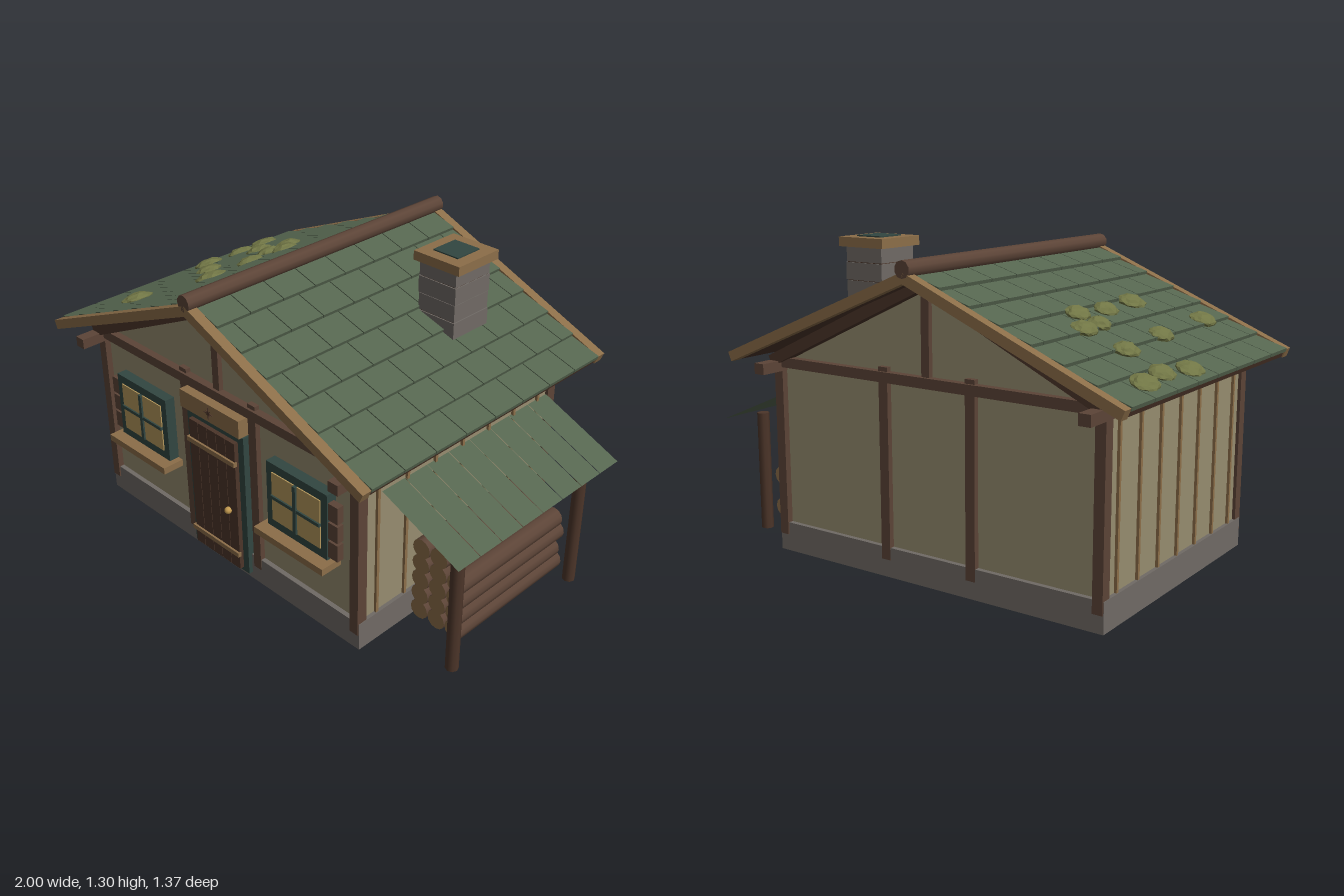
import * as THREE from 'three';
import { mergeGeometries } from 'three/addons/utils/BufferGeometryUtils.js';

const mat = (name, color, extra = {}) => {
  const m = new THREE.MeshStandardMaterial({ color, ...extra });
  m.name = name;
  return m;
};

export function createModel() {
  const plaster = mat('plaster', 0x968c6f);
  const stone = mat('stone', 0x706a65);
  const timber = mat('timber', 0x5c4437);
  const darkWood = mat('dark wood', 0x4c3529);
  const tan = mat('light wood', 0x8c6e49);
  const green = mat('green shingle', 0x566650, { side: THREE.DoubleSide });
  const teal = mat('dark teal paint', 0x324641);
  const amber = mat('lit glass', 0xb5985c);
  const moss = mat('moss', 0x717645, { flatShading: true });
  const brass = mat('brass', 0xc39a50);

  const root = new THREE.Group();
  root.name = 'cottage';
  const house = new THREE.Group();
  house.name = 'house';
  house.position.x = -0.107;
  root.add(house);

  const add = (parent, name, geo, material, x = 0, y = 0, z = 0) => {
    const m = new THREE.Mesh(geo, material);
    m.name = name;
    m.position.set(x, y, z);
    parent.add(m);
    return m;
  };
  // Box given by its min and max on each axis
  const box = (parent, name, material, x0, x1, y0, y1, z0, z1) =>
    add(parent, name, new THREE.BoxGeometry(x1 - x0, y1 - y0, z1 - z0), material,
      (x0 + x1) / 2, (y0 + y1) / 2, (z0 + z1) / 2);

  // Foundation and gabled wall body
  box(house, 'foundation', stone, -0.76, 0.76, 0.02, 0.14, -0.56, 0.56);
  const gable = new THREE.Shape([[-0.745, 0.14], [0.745, 0.14], [0.745, 0.81], [0, 1.16], [-0.745, 0.81]]
    .map(p => new THREE.Vector2(...p)));
  add(house, 'walls', new THREE.ExtrudeGeometry(gable, { depth: 1.08, bevelEnabled: false }), plaster, 0, 0, -0.54);

  // Timber framing on both gable ends
  for (const s of [1, -1]) {
    const zr = (a, b) => s > 0 ? [a, b] : [-b, -a];
    for (const x of [-0.737, 0.737])
      box(house, 'cornerPost', timber, x - 0.021, x + 0.021, 0.09, 0.83, ...zr(0.52, 0.566));
    for (const x of [-0.2, 0.2])
      box(house, 'wallPost', timber, x - 0.021, x + 0.021, 0.09, 0.845, ...zr(0.53, 0.562));
    box(house, 'crossBeam', timber, -0.76, 0.76, 0.788, 0.828, ...zr(0.53, 0.572));
    box(house, 'kingPost', timber, -0.018, 0.018, 0.82, 1.13, ...zr(0.53, 0.56));
    for (const d of [1, -1]) {
      const len = Math.hypot(0.76, 0.36);
      const r = add(house, 'gableRafter', new THREE.BoxGeometry(len, 0.045, 0.06), darkWood, d * 0.376, 0.992, s * 0.56);
      r.rotation.z = -d * Math.atan2(0.36, 0.76);
    }
  }

  // Eave plates and side battens
  for (const d of [1, -1]) {
    box(house, 'eavePlate', timber, d * 0.737 - 0.024, d * 0.737 + 0.024, 0.772, 0.815, -0.672, 0.672);
    for (let i = -3; i <= 3; i++)
      add(house, 'batten', new THREE.BoxGeometry(0.014, 0.64, 0.013), tan, d * 0.749, 0.455, i * 0.153);
  }

  // Roof: each slope has local x running down to the eave
  const slopeLen = 0.965, rows = 7, rowLen = slopeLen / rows, halfZ = 0.645;
  for (const turn of [0, Math.PI]) {
    const side = new THREE.Group();
    side.name = 'roofSide';
    side.rotation.y = turn;
    house.add(side);
    const slope = new THREE.Group();
    slope.name = 'roofSlope';
    slope.position.y = 1.218;
    slope.rotation.z = -0.398;
    side.add(slope);
    box(slope, 'roofDeck', darkWood, 0, slopeLen - 0.005, -0.034, -0.014, -halfZ, halfZ);
    for (const s of [1, -1])
      box(slope, 'bargeBoard', tan, 0, slopeLen, -0.035, 0.004, s * 0.665 - 0.021, s * 0.665 + 0.021);
    const tiles = [];
    const w = halfZ / 4;
    for (let i = 0; i < rows; i++) {
      const shift = i % 2 ? w / 2 : 0;
      for (let z = -halfZ - shift; z < halfZ - 0.01; z += w) {
        const a = Math.max(z, -halfZ) + 0.002, b = Math.min(z + w, halfZ) - 0.002;
        if (b - a < 0.01) continue;
        const g = new THREE.BoxGeometry(rowLen * 1.08, 0.016, b - a);
        g.rotateZ(0.1);
        g.translate(rowLen * (i + 0.47), -0.006, (a + b) / 2);
        tiles.push(g);
      }
    }
    add(slope, 'shingles', mergeGeometries(tiles), green);
  }
  const ridge = add(house, 'ridgePole', new THREE.CylinderGeometry(0.033, 0.033, 1.372, 10), timber, 0, 1.231, 0);
  ridge.rotation.x = Math.PI / 2;

  // Chimney of stacked courses with a cap
  for (let i = 0; i < 5; i++) {
    const y = 0.91 + i * 0.072, e = i % 2 ? 0.002 : 0;
    box(root, 'chimneyCourse', stone, 0.272 - e, 0.45 + e, y, y + 0.069, -0.346 - e, -0.149 + e);
  }
  box(root, 'chimneyCore', darkWood, 0.275, 0.447, 0.91, 1.26, -0.343, -0.152);
  box(root, 'chimneyCap', tan, 0.252, 0.474, 1.257, 1.295, -0.364, -0.134);
  box(root, 'flueOpening', teal, 0.303, 0.423, 1.29, 1.3, -0.312, -0.186);

  // Moss clumps on the left slope
  const clumps = [[-0.92, -0.41, 1.1], [-0.905, -0.26, 1], [-0.93, -0.09, 1.05], [-0.755, -0.24, 0.95],
    [-0.6, -0.27, 0.95], [-0.595, -0.155, 0.85], [-0.515, -0.175, 0.95], [-0.53, 0.005, 0.95],
    [-0.73, 0.07, 0.95], [-0.52, 0.225, 1.05], [-0.715, 0.46, 1.05]];
  clumps.forEach(([x, z, k], n) => {
    const g = new THREE.IcosahedronGeometry(1, 2);
    const p = g.attributes.position, v = new THREE.Vector3();
    for (let i = 0; i < p.count; i++) {
      v.fromBufferAttribute(p, i);
      v.multiplyScalar(1 + 0.09 * Math.sin(v.x * 7 + n) * Math.sin(v.z * 8 + n * 2) + 0.05 * Math.sin(v.y * 9));
      p.setXYZ(i, v.x * 0.048 * k, v.y * 0.024, v.z * 0.066 * k);
    }
    g.computeVertexNormals();
    const m = add(root, 'mossClump', g, moss, x, 1.222 + 0.42 * (x + 0.107), z);
    m.rotation.z = 0.398;
  });

  // Door with planks, hinges, knob and sign board
  const door = new THREE.Group();
  door.name = 'door';
  house.add(door);
  box(door, 'doorFrame', teal, -0.166, 0.166, 0.05, 0.69, 0.53, 0.578);
  for (let i = 0; i < 5; i++)
    box(door, 'doorPlank', darkWood, -0.136 + i * 0.0545, -0.084 + i * 0.0545, 0.068, 0.66, 0.57, 0.597);
  for (const y of [0.14, 0.568])
    box(door, 'hingeStrap', tan, -0.145, 0.137, y - 0.01, y + 0.01, 0.59, 0.606);
  add(door, 'doorKnob', new THREE.SphereGeometry(0.015, 10, 8), brass, 0.088, 0.337, 0.606);
  box(door, 'signBoard', tan, -0.173, 0.173, 0.703, 0.78, 0.55, 0.604);
  const star = new THREE.Shape();
  for (let i = 0; i < 16; i++) {
    const r = i % 2 ? 0.007 : i % 4 ? 0.016 : 0.028, a = i * Math.PI / 8;
    star[i ? 'lineTo' : 'moveTo'](r * Math.cos(a), r * Math.sin(a));
  }
  add(door, 'starOrnament', new THREE.ExtrudeGeometry(star, { depth: 0.005, bevelEnabled: false }), darkWood, 0, 0.742, 0.603);

  // Windows, with shutter boards on the outer side
  for (const s of [-1, 1]) {
    const win = new THREE.Group();
    win.name = 'window';
    win.position.set(s * 0.46, 0.52, 0);
    house.add(win);
    box(win, 'windowFrame', teal, -0.16, 0.16, -0.145, 0.142, 0.53, 0.585);
    for (const x of [-0.068, 0.068]) for (const y of [-0.056, 0.056])
      box(win, 'pane', amber, x - 0.06, x + 0.06, y - 0.05, y + 0.05, 0.583, 0.59);
    box(win, 'mullion', teal, -0.008, 0.008, -0.106, 0.106, 0.58, 0.598);
    box(win, 'glazingBar', teal, -0.13, 0.13, -0.007, 0.007, 0.58, 0.597);
    box(win, 'windowSill', tan, -0.185, 0.185, -0.175, -0.146, 0.53, 0.636);
    for (const y of [-0.095, -0.012, 0.071])
      add(win, 'shutterBoard', new THREE.BoxGeometry(0.05, 0.072, 0.03), timber, s * 0.183, y, 0.565);
  }

  // Lean-to roof of thin planks on two posts
  for (let i = 0; i < 8; i++) {
    const g = new THREE.PlaneGeometry(Math.hypot(0.36, 0.155), 0.117);
    g.rotateX(-Math.PI / 2);
    const m = add(root, 'leanToPlank', g, green, 0.82, 0.5925, 0.377 - i * 0.12);
    m.rotation.z = -Math.atan2(0.155, 0.36);
  }
  for (const z of [0.37, -0.357])
    add(root, 'leanToPost', new THREE.CylinderGeometry(0.026, 0.026, 0.517, 8), darkWood, 0.945, 0.2585, z);

  // Stacked logs with cut ends
  [5, 5, 4].forEach((count, c) => {
    for (let r = 0; r < count; r++) {
      const len = (c + r) % 2 ? 0.595 : 0.617;
      const g = new THREE.CylinderGeometry(0.041, 0.041, len, 12);
      g.rotateX(Math.PI / 2);
      add(root, 'log', g, [timber, tan, tan], 0.714 + c * 0.084, 0.093 + r * 0.0715, 0.297 - len / 2);
    }
  });

  return root;
}
